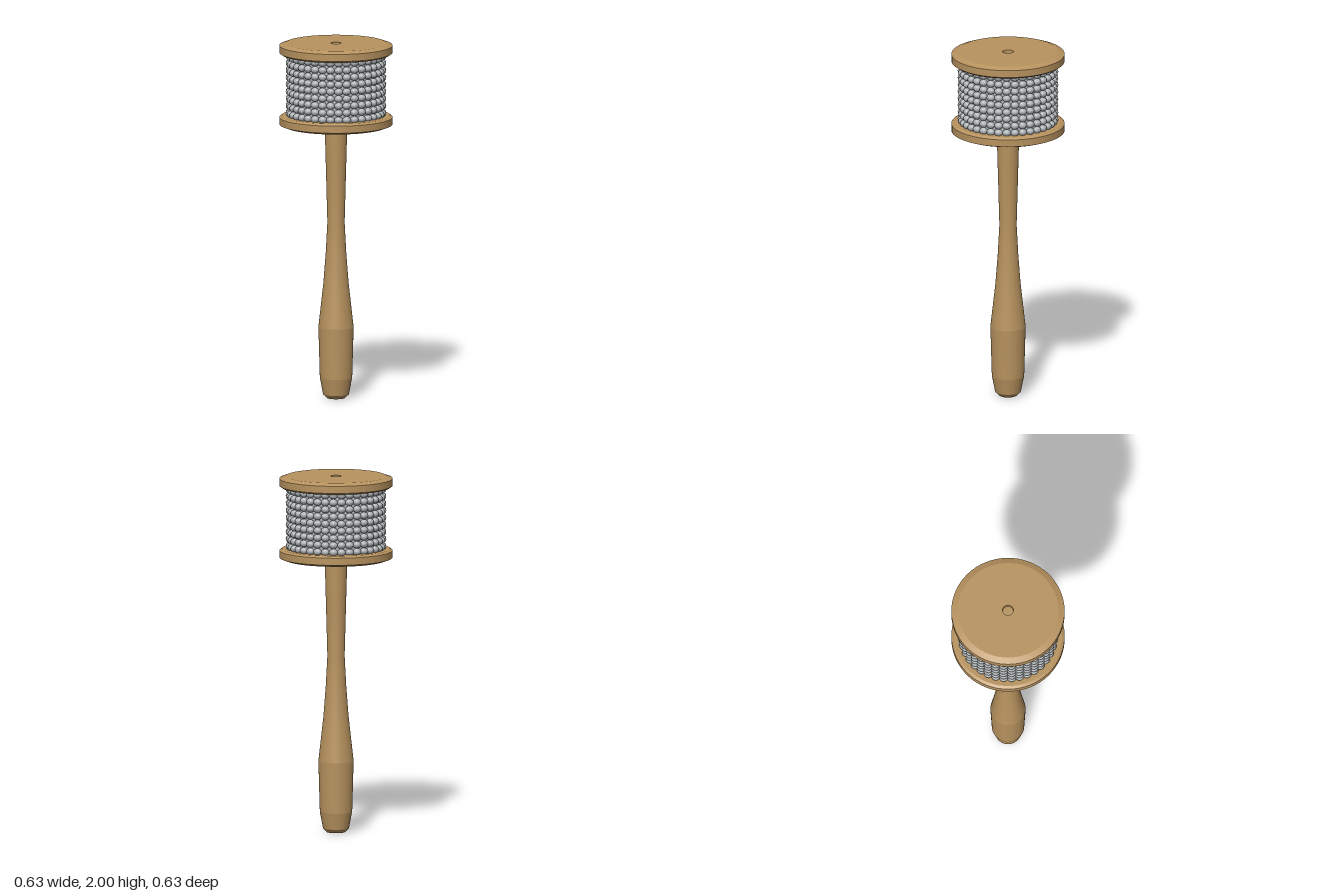
import * as THREE from 'three';
import { toCreasedNormals } from 'three/addons/utils/BufferGeometryUtils.js';

const wood = new THREE.MeshStandardMaterial({ color: 0xb8935f });
const steel = new THREE.MeshStandardMaterial({ color: 0xb0b5b8 });

// Turned part from [radius, y] pairs listed from bottom to top
function turned(name, profile, material, crease = 0.13) {
  const points = profile.map(([r, y]) => new THREE.Vector2(r, y));
  const geometry = toCreasedNormals(new THREE.LatheGeometry(points, 64), crease);
  const mesh = new THREE.Mesh(geometry, material);
  mesh.name = name;
  return mesh;
}

export function createModel() {
  const model = new THREE.Group();
  model.name = 'beadedShaker';

  // Handle: swollen grip, slim waist, slight flare into the head
  model.add(turned('handle', [
    [0, 0], [0.05, 0], [0.072, 0.022], [0.09, 0.115], [0.098, 0.4],
    [0.07, 0.65], [0.057, 0.82], [0.048, 0.99], [0.055, 1.25], [0.063, 1.54], [0, 1.54],
  ], wood));

  // End discs: wide chamfer outside, narrow one towards the beads
  model.add(turned('lowerDisc', [
    [0, 1.53], [0.28, 1.53], [0.315, 1.543], [0.315, 1.583], [0.3, 1.593], [0, 1.593],
  ], wood));
  model.add(turned('upperDisc', [
    [0, 1.937], [0.3, 1.937], [0.315, 1.947], [0.315, 1.987], [0.28, 2],
    [0.03, 2], [0.03, 1.98], [0, 1.98],
  ], wood));

  // Drum behind the beads
  const drum = new THREE.Mesh(new THREE.CylinderGeometry(0.25, 0.25, 0.35, 64, 1, true), steel);
  drum.name = 'drum';
  drum.position.y = 1.765;
  model.add(drum);

  // Stacked loops of beads
  const rows = 9, perRow = 36;
  const bead = new THREE.SphereGeometry(0.02, 12, 8);
  bead.scale(1, 1, 1.2);
  const beads = new THREE.Group();
  beads.name = 'beads';
  for (let row = 0; row < rows; row++) {
    const loop = new THREE.Group();
    loop.name = 'beadLoop';
    loop.position.y = 1.607 + row * 0.04;
    for (let i = 0; i < perRow; i++) {
      const angle = (i / perRow) * Math.PI * 2;
      const mesh = new THREE.Mesh(bead, steel);
      mesh.name = 'bead';
      mesh.position.set(0.26 * Math.cos(angle), 0, 0.26 * Math.sin(angle));
      mesh.rotation.y = -angle;
      loop.add(mesh);
    }
    beads.add(loop);
  }
  model.add(beads);

  return model;
}
